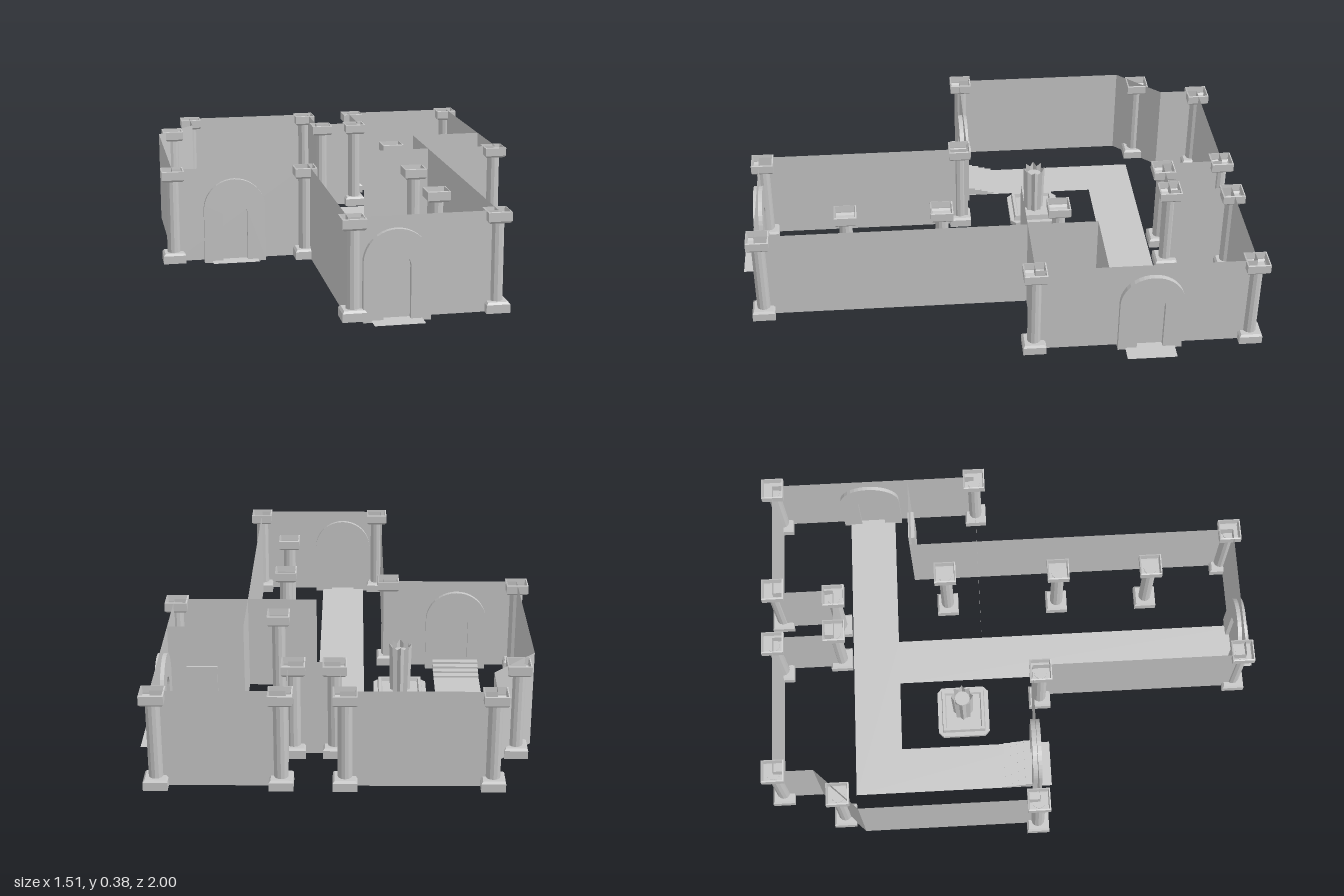
import * as THREE from 'three';

const stone = new THREE.MeshStandardMaterial({ color: 0xc6c6c6, side: THREE.DoubleSide, flatShading: true });
stone.name = 'grey stone';

const FLOOR = 0.01, TOP = 0.385;

export function createModel() {
  const root = new THREE.Group();
  root.name = 'ruinFloorPlan';

  const add = (name, geo, x = 0, y = 0, z = 0, parent = root) => {
    const m = new THREE.Mesh(geo, stone);
    m.name = name;
    m.position.set(x, y, z);
    parent.add(m);
    return m;
  };

  // Square-section solid of revolution: profile points are [half width, height]
  const squareLathe = (profile) =>
    new THREE.LatheGeometry(profile.map(([h, y]) => new THREE.Vector2(h * Math.SQRT2, y)), 4, Math.PI / 4);

  // Flat paths on the ground: one branching corridor
  const path = [[-0.561, -0.667], [0.751, -0.667], [0.751, -0.476], [0.095, -0.476], [0.095, 1], [-0.09, 1],
    [-0.09, -0.476], [-0.376, -0.476], [-0.376, 0.13], [-0.561, 0.13]];
  const floorGeo = new THREE.ShapeGeometry(new THREE.Shape(path.map(([x, z]) => new THREE.Vector2(x, -z))));
  floorGeo.rotateX(-Math.PI / 2);
  add('floorPath', floorGeo, 0, 0.008, 0);

  // Thin walls, each run a list of plan points [x, z]
  const runs = [
    [[-0.17, 0.918], [0.373, 0.918], [0.373, -0.4], [0.664, -0.4]],
    [[0.1, -0.127], [0.664, -0.127]],
    [[0.664, -0.127], [0.664, -0.957], [0.19, -0.957], [0.19, -0.714], [0, -0.714], [0, -0.957],
      [-0.55, -0.957], [-0.55, -0.8], [-0.712, -0.63], [-0.712, 0.068], [-0.17, 0.068], [-0.17, 0.918]],
  ];
  for (const run of runs) {
    for (let i = 0; i + 1 < run.length; i++) {
      const [ax, az] = run[i], [bx, bz] = run[i + 1];
      const wall = add('wall', new THREE.PlaneGeometry(Math.hypot(bx - ax, bz - az), TOP - FLOOR),
        (ax + bx) / 2, (TOP + FLOOR) / 2, (az + bz) / 2);
      wall.rotation.y = -Math.atan2(bz - az, bx - ax);
    }
  }

  // Pillars with hollow square capitals and bases
  const baseGeo = squareLathe([[0.044, FLOOR], [0.044, 0.042], [0.037, 0.05], [0.018, 0.05]]);
  const capGeo = squareLathe([[0.018, 0.342], [0.037, 0.342], [0.044, 0.35], [0.044, 0.383], [0.039, TOP], [0.036, 0.36]]);
  const shaftGeo = new THREE.CylinderGeometry(0.026, 0.026, 0.3, 12);
  const pillars = [[-0.545, -0.957], [-0.018, -0.957], [0.209, -0.957], [0.656, -0.957], [-0.648, -0.709],
    [0.021, -0.714], [0.172, -0.714], [0.246, -0.262], [0.656, -0.127], [-0.712, 0.063], [-0.188, 0.1],
    [0.235, 0.196], [0.235, 0.571], [-0.151, 0.905], [0.373, 0.905]];
  for (const [x, z] of pillars) {
    const p = new THREE.Group();
    p.name = 'pillar';
    p.position.set(x, 0, z);
    add('pillarBase', baseGeo, 0, 0, 0, p);
    add('pillarShaft', shaftGeo, 0, 0.196, 0, p);
    add('pillarCapital', capGeo, 0, 0, 0, p);
    root.add(p);
  }

  // Arched door surrounds, straddling the walls
  const arch = new THREE.Shape();
  arch.moveTo(-0.123, 0);
  arch.lineTo(-0.123, 0.217);
  arch.absarc(0, 0.217, 0.123, Math.PI, 0, true);
  arch.lineTo(0.123, 0);
  arch.lineTo(0.05, 0);
  arch.lineTo(0.05, 0.2);
  arch.absarc(0, 0.2, 0.05, 0, Math.PI, false);
  arch.lineTo(-0.05, 0);
  arch.closePath();
  const archGeo = new THREE.ExtrudeGeometry(arch, { depth: 0.036, bevelEnabled: false, curveSegments: 10 });
  archGeo.translate(0, 0, -0.018);
  add('frontArch', archGeo, 0.004, 0, 0.92);
  add('rightArch', archGeo, -0.468, 0, 0.068);
  add('leftArch', archGeo, 0.667, 0, -0.57).rotation.y = Math.PI / 2;

  // Small door in the closed side room
  add('sideDoor', new THREE.BoxGeometry(0.118, 0.21, 0.026), 0.536, FLOOR + 0.105, -0.399);

  // Low steps leading to the side arch
  for (let i = 0; i < 4; i++) {
    const h = 0.008 * (i + 1);
    add('step', new THREE.BoxGeometry(0.185, h, 0.027), -0.468, FLOOR + h / 2, -0.045 + i * 0.027);
  }

  // Pedestal with a raised rim and a broken fluted column
  const fountain = new THREE.Group();
  fountain.name = 'brokenColumn';
  fountain.position.set(-0.233, 0, -0.217);
  const c = 0.085, h = 0.105;
  const plinth = new THREE.Shape([[h, c], [c, h], [-c, h], [-h, c], [-h, -c], [-c, -h], [c, -h], [h, -c]]
    .map(([x, y]) => new THREE.Vector2(x, y)));
  const plinthGeo = new THREE.ExtrudeGeometry(plinth, { depth: 0.018, bevelEnabled: false });
  plinthGeo.rotateX(-Math.PI / 2);
  add('plinth', plinthGeo, 0, FLOOR, 0, fountain);
  add('plinthRim', squareLathe([[0.088, 0.028], [0.085, 0.05], [0.074, 0.05], [0.07, 0.036], [0, 0.036]]), 0, 0, 0, fountain);
  const flutes = new THREE.CylinderGeometry(0.045, 0.04, 0.2, 16, 1, true);
  const pos = flutes.attributes.position;
  for (let i = 0; i < pos.count; i++) {
    // alternate corners are drawn inward, and the rim is left uneven
    const odd = (i % 17) % 2;
    const k = odd ? 0.78 : 1;
    pos.setXYZ(i, pos.getX(i) * k, pos.getY(i) - (pos.getY(i) > 0 && odd ? 0.015 : 0), pos.getZ(i) * k);
  }
  flutes.computeVertexNormals();
  add('flutedStump', flutes, 0, 0.135, 0, fountain);
  add('stumpCore', new THREE.CylinderGeometry(0.03, 0.03, 0.17, 12), 0, 0.12, 0, fountain);
  root.add(fountain);

  return root;
}
